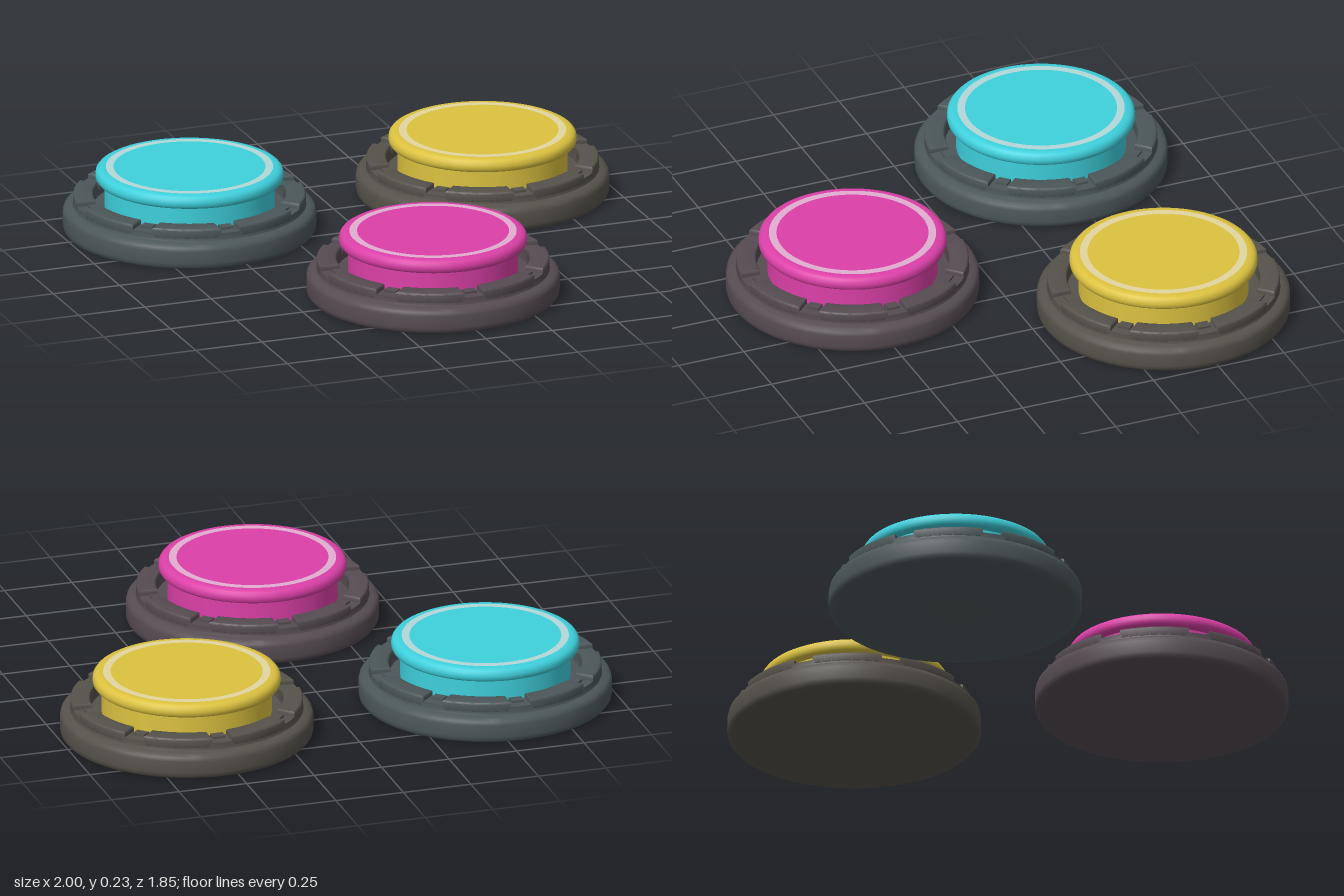
import * as THREE from 'three';
import { toCreasedNormals } from 'three/addons/utils/BufferGeometryUtils.js';

const SEGMENTS = 72;

function lathe(name, profile, material) {
  const points = profile.map(([r, y]) => new THREE.Vector2(r, y));
  const geometry = toCreasedNormals(new THREE.LatheGeometry(points, SEGMENTS), 0.65);
  const mesh = new THREE.Mesh(geometry, material);
  mesh.name = name;
  return mesh;
}

// Raised arc of the collar between two notches, with parallel-sided gaps
function collarArcGeometry(inner, outer, halfGap, y0, y1) {
  const bevel = 0.007;
  const ri = inner + bevel, ro = outer - bevel, gap = halfGap + bevel;
  const ai = Math.asin(gap / ri), ao = Math.asin(gap / ro);
  const shape = new THREE.Shape();
  shape.absarc(0, 0, ro, ao, Math.PI / 4 - ao, false);
  shape.absarc(0, 0, ri, Math.PI / 4 - ai, ai, true);
  shape.closePath();
  const geometry = new THREE.ExtrudeGeometry(shape, {
    depth: y1 - y0 - 2 * bevel, bevelEnabled: true, bevelSize: bevel,
    bevelThickness: bevel, bevelSegments: 3, curveSegments: 10,
  });
  geometry.rotateX(-Math.PI / 2);
  geometry.translate(0, y0 + bevel, 0);
  return toCreasedNormals(geometry, 0.65);
}

function createButton(name, x, z, colors) {
  const button = new THREE.Group();
  button.name = name;
  button.position.set(x, 0, z);
  const [baseMat, capMat, ringMat] = colors.map(
    (color) => new THREE.MeshStandardMaterial({ color }));

  // Stepped base with a sunken well around the stem
  button.add(lathe('base', [
    [0, 0], [0.425, 0], [0.438, 0.004], [0.445, 0.013], [0.447, 0.025],
    [0.447, 0.068], [0.444, 0.081], [0.436, 0.089], [0.422, 0.093],
    [0.412, 0.096], [0.41, 0.102], [0.41, 0.121],
    [0.342, 0.121], [0.34, 0.085], [0.29, 0.085],
  ], baseMat));

  // Notched collar: eight arcs, with a small clip in each gap
  const arc = collarArcGeometry(0.34, 0.41, 0.036, 0.1, 0.14);
  const clip = new THREE.BoxGeometry(0.045, 0.022, 0.036);
  for (let i = 0; i < 8; i++) {
    const sector = new THREE.Group();
    sector.name = 'collarSector';
    sector.rotation.y = (i * Math.PI) / 4;
    const arcMesh = new THREE.Mesh(arc, baseMat);
    arcMesh.name = 'collarArc';
    const clipMesh = new THREE.Mesh(clip, baseMat);
    clipMesh.name = 'notchClip';
    clipMesh.position.set(0.356, 0.118, 0);
    clipMesh.rotation.y = Math.PI / 2;
    sector.add(arcMesh, clipMesh);
    button.add(sector);
  }

  // Plunger stem and overhanging rounded cap
  button.add(lathe('stem', [[0.3, 0.08], [0.3, 0.188]], capMat));
  button.add(lathe('cap', [
    [0.298, 0.184], [0.316, 0.185], [0.325, 0.189], [0.331, 0.197],
    [0.332, 0.208], [0.33, 0.22], [0.324, 0.228], [0.315, 0.233],
    [0.304, 0.235], [0.295, 0.235],
  ], capMat));

  // Flat top: pale ring around a coloured disc
  button.add(lathe('topRing', [[0.295, 0.235], [0.268, 0.235]], ringMat));
  button.add(lathe('topDisc', [[0.268, 0.235], [0, 0.235]], capMat));
  return button;
}

export function createModel() {
  const model = new THREE.Group();
  model.name = 'pushButtons';
  model.add(
    createButton('cyanButton', -0.553, -0.478, [0x4c5759, 0x3ed0dc, 0xb4d8d8]),
    createButton('yellowButton', 0.553, -0.478, [0x56524b, 0xdcc240, 0xe2d6a0]),
    createButton('magentaButton', 0, 0.478, [0x564c52, 0xdc40a8, 0xe2aed0]),
  );
  return model;
}
